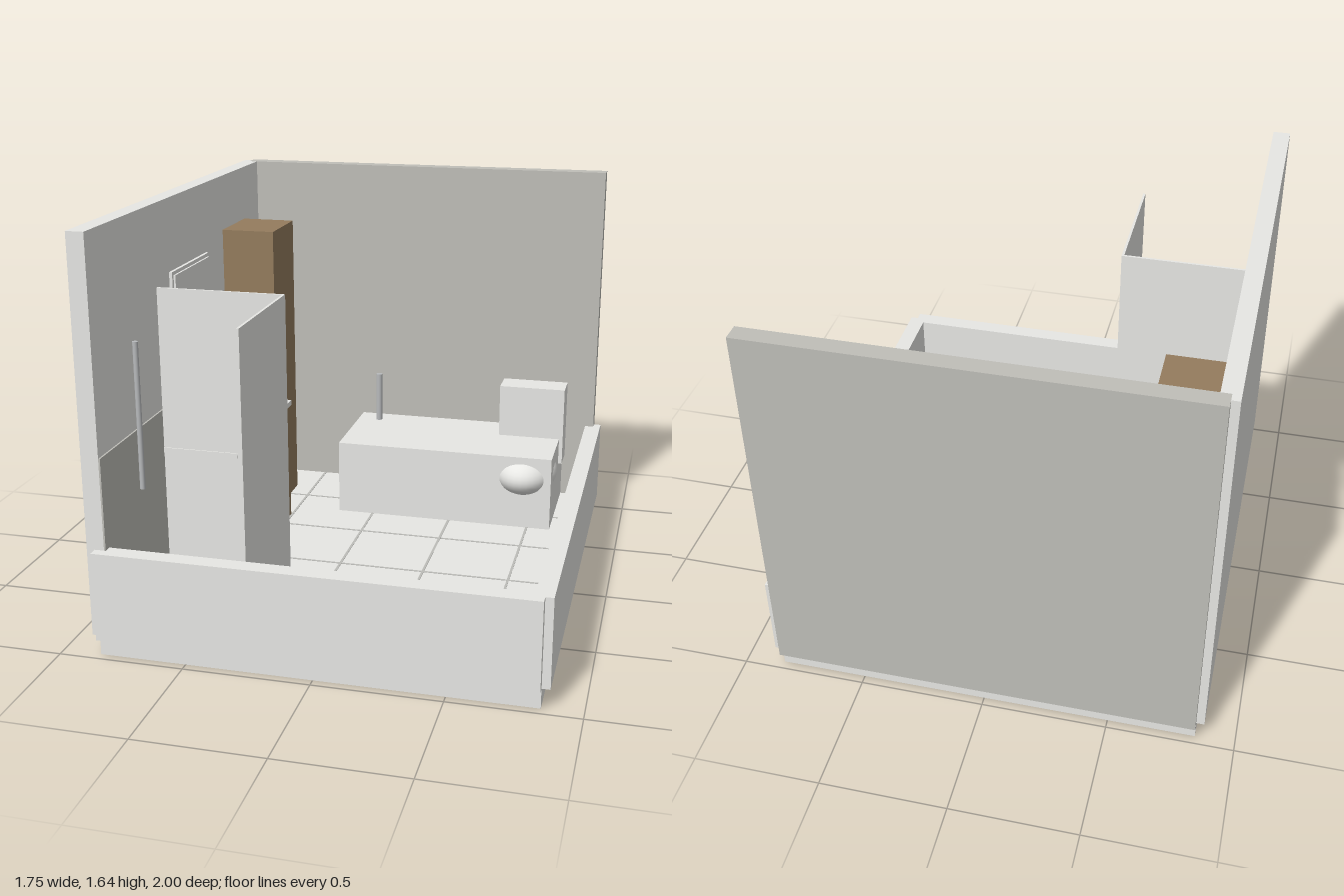
import * as THREE from 'three';

const mat = (name, color) => {
  const m = new THREE.MeshStandardMaterial({ color });
  m.name = name;
  return m;
};

export function createModel() {
  const white = mat('white', 0xe8e8e5);
  const stone = mat('warm grey tile', 0xbfbeb8);
  const wood = mat('brown wood', 0x947c5e);
  const metal = mat('metal', 0xb8babc);
  const grout = mat('grout', 0xbcbcb8);

  const room = new THREE.Group();
  room.name = 'bathroom';

  const add = (name, geometry, material, x, y, z) => {
    const mesh = new THREE.Mesh(geometry, material);
    mesh.name = name;
    mesh.position.set(x, y, z);
    room.add(mesh);
    return mesh;
  };
  // box given by its limits on each axis
  const box = (name, material, [x0, x1], [y0, y1], [z0, z1]) =>
    add(name, new THREE.BoxGeometry(x1 - x0, y1 - y0, z1 - z0), material,
      (x0 + x1) / 2, (y0 + y1) / 2, (z0 + z1) / 2);
  const rod = (name, r, x, [y0, y1], z) =>
    add(name, new THREE.CylinderGeometry(r, r, y1 - y0, 16), metal, x, (y0 + y1) / 2, z);

  // floor slab, tile surface and grout lines
  box('floorSlab', white, [-0.845, 0.845], [0, 0.078], [-0.965, 0.965]);
  box('floorTiles', white, [-0.805, 0.805], [0.078, 0.084], [-0.93, 0.925]);
  for (const x of [-0.483, -0.122, 0.238, 0.6])
    box('groutLine', grout, [x - 0.005, x + 0.005], [0.08, 0.086], [-0.93, 0.925]);
  for (const z of [-0.607, -0.246, 0.117, 0.478, 0.838])
    box('groutLine', grout, [-0.805, 0.805], [0.08, 0.0857], [z - 0.005, z + 0.005]);

  // two full walls and two cut-away walls
  box('backWall', stone, [-0.845, 0.845], [0.078, 1.64], [-1, -0.93]);
  box('rightWall', white, [-0.877, -0.807], [0.078, 1.64], [-0.965, 0.962]);
  box('frontLowWall', white, [-0.845, 0.845], [0.077, 0.435], [0.93, 1]);
  box('leftLowWall', white, [0.807, 0.877], [0.078, 0.435], [-0.965, 0.962]);
  box('wainscot', stone, [-0.807, -0.8], [0.084, 0.8], [-0.93, 0.962]);

  // tall cabinet and vanity
  box('tallCabinet', wood, [-0.806, -0.57], [0.084, 1.4], [-0.725, -0.425]);
  box('vanityCabinet', wood, [-0.8, -0.49], [0.084, 0.618], [-0.362, 0.362]);
  box('vanityCounter', white, [-0.8, -0.482], [0.618, 0.64], [-0.372, 0.37]);
  box('basin', white, [-0.768, -0.54], [0.64, 0.715], [-0.145, 0.145]);

  // mirror
  box('mirrorFrame', white, [-0.807, -0.794], [0.8, 1.34], [-0.21, 0.213]);
  box('mirrorGlass', white, [-0.794, -0.786], [0.815, 1.325], [-0.195, 0.198]);

  // shower enclosure
  box('showerTray', white, [-0.8, -0.28], [0.084, 0.115], [0.365, 0.9]);
  box('showerSidePanel', white, [-0.8, -0.28], [0.084, 1.31], [0.355, 0.365]);
  box('showerFrontPanel', white, [-0.28, -0.27], [0.084, 1.31], [0.355, 0.9]);
  rod('showerRail', 0.011, -0.785, [0.56, 1.16], 0.63);

  // bathtub and its spout
  box('bathtub', white, [-0.283, 0.703], [0.084, 0.42], [-0.93, -0.46]);
  rod('tubSpout', 0.015, -0.183, [0.42, 0.65], -0.845);

  // toilet
  box('toiletTank', white, [0.42, 0.72], [0.3, 0.66], [-0.88, -0.75]);
  add('toiletBowl', new THREE.SphereGeometry(1, 32, 20), white, 0.57, 0.315, -0.597)
    .scale.set(0.144, 0.105, 0.192);

  return room;
}
